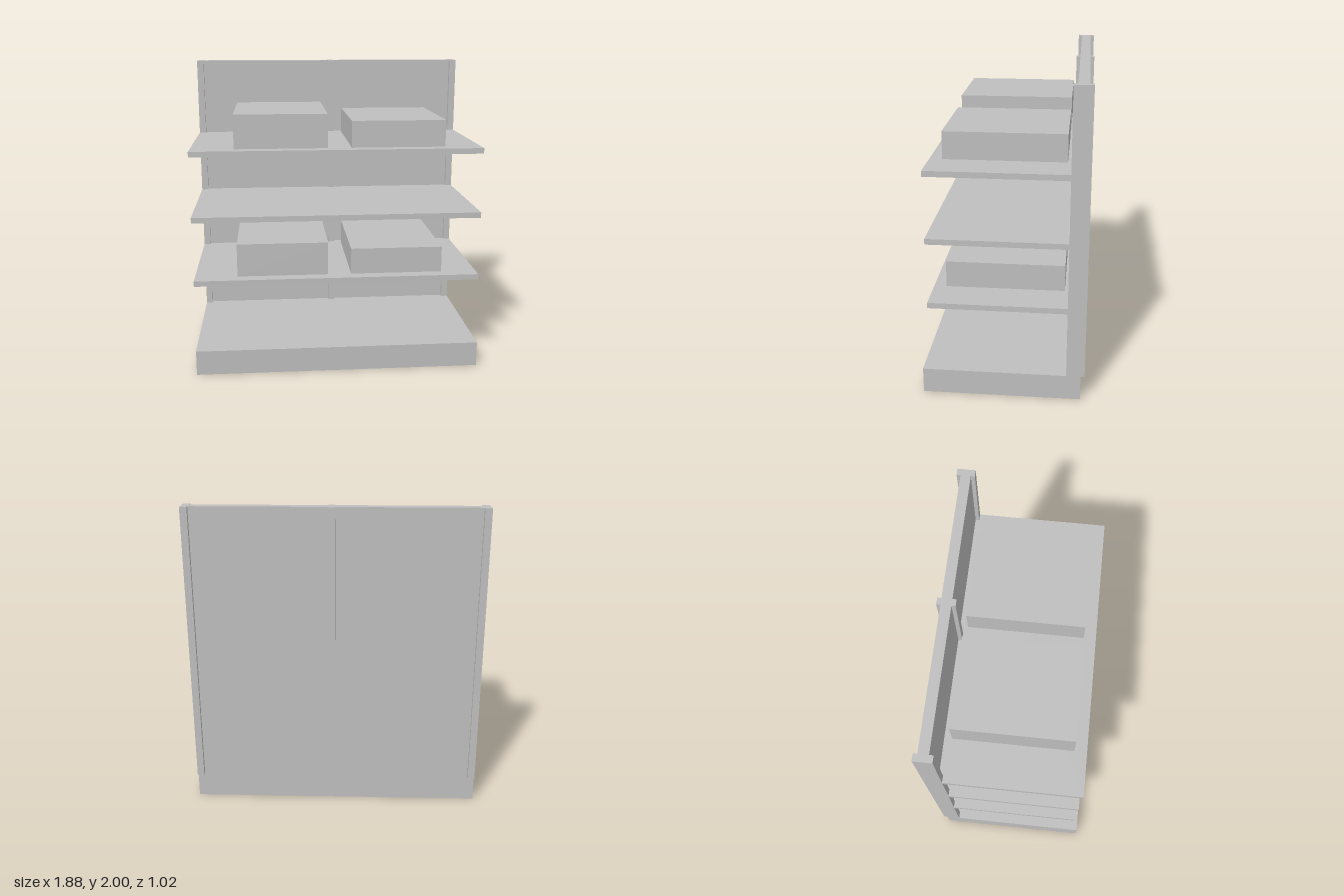
import * as THREE from 'three';

const grey = new THREE.MeshStandardMaterial({ color: 0xbfbfbf });
grey.name = 'plain grey';

// Box given by its limits along each axis
function block(name, [x0, x1], [y0, y1], [z0, z1]) {
  const mesh = new THREE.Mesh(new THREE.BoxGeometry(x1 - x0, y1 - y0, z1 - z0), grey);
  mesh.position.set((x0 + x1) / 2, (y0 + y1) / 2, (z0 + z1) / 2);
  mesh.name = name;
  return mesh;
}

export function createModel() {
  const model = new THREE.Group();
  model.name = 'displayShelving';
  const width = [-0.94, 0.94];
  const baseTop = 0.165;

  // Plinth and back panel
  model.add(block('base', width, [0, baseTop], [-0.485, 0.51]));
  model.add(block('backPanel', [-0.92, 0.92], [baseTop, 2], [-0.485, -0.42]));

  // Uprights stand proud of the panel on both faces
  [['rightPost', -0.94], ['middlePost', 0], ['leftPost', 0.895]].forEach(([name, x]) => {
    model.add(block(name, [x, x + 0.045], [baseTop, 2], [-0.51, -0.395]));
  });

  // Shelves, with a tall and a low carton on the first and third
  [0.635, 1.06, 1.485].forEach((top, i) => {
    const tier = new THREE.Group();
    tier.name = `tier${i + 1}`;
    tier.add(block('shelf', width, [top - 0.036, top], [-0.42, 0.465]));
    if (i !== 1) {
      tier.add(block('tallCarton', [-0.66, -0.06], [top, top + 0.22], [-0.37, 0.385]));
      tier.add(block('lowCarton', [0.095, 0.705], [top, top + 0.173], [-0.37, 0.385]));
    }
    model.add(tier);
  });

  return model;
}
